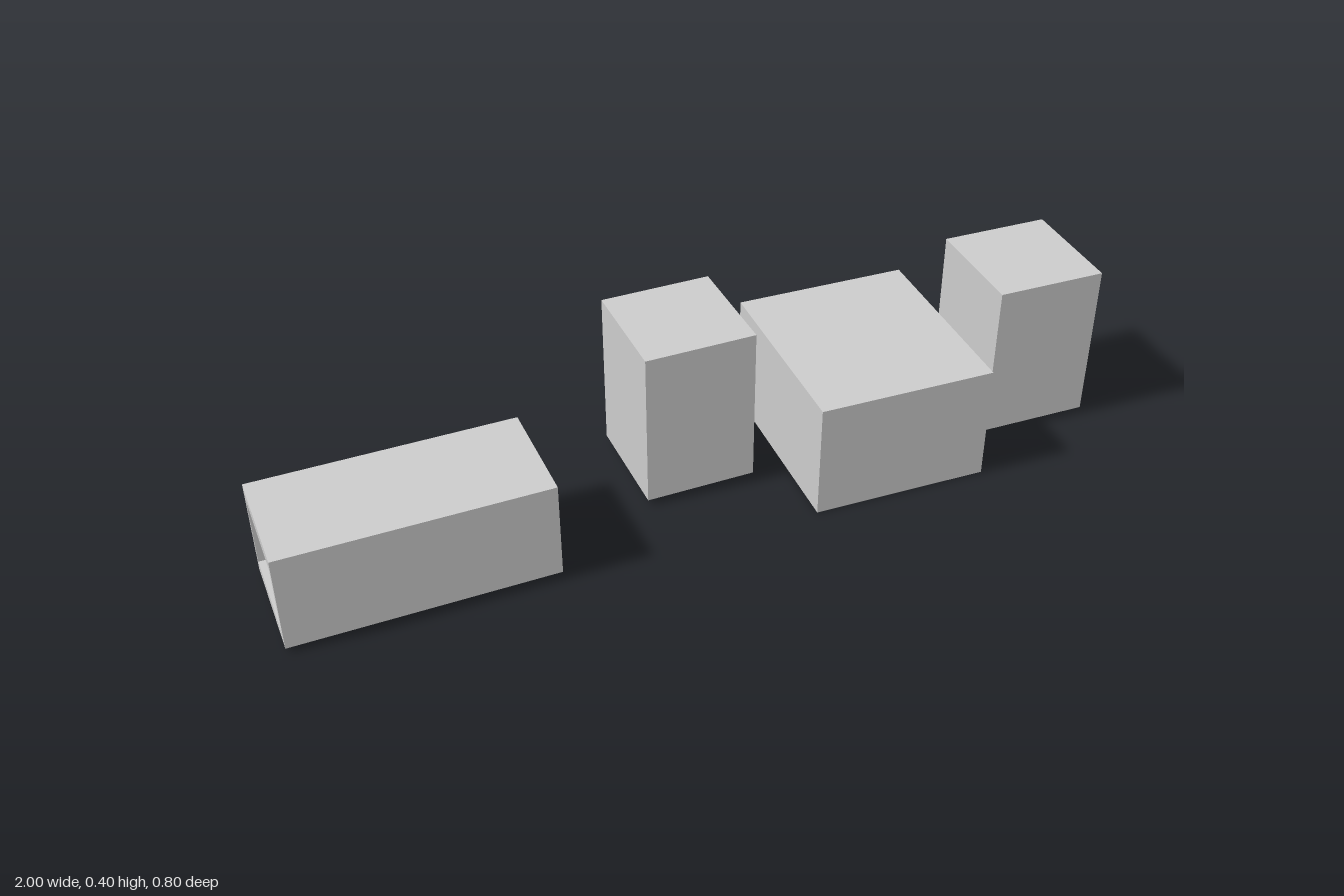
import * as THREE from 'three';

const material = new THREE.MeshStandardMaterial({ color: 0xcccccc, flatShading: true });

// Centred rectangle outline
function rect(path, w, h, cx = 0, cy = 0) {
  path.moveTo(cx - w / 2, cy - h / 2);
  path.lineTo(cx + w / 2, cy - h / 2);
  path.lineTo(cx + w / 2, cy + h / 2);
  path.lineTo(cx - w / 2, cy + h / 2);
  path.closePath();
  return path;
}

// Rectangular plate with a rectangular hole
function frame(w, h, holeW, holeH, depth, holeX = 0, holeY = 0) {
  const shape = rect(new THREE.Shape(), w, h);
  shape.holes.push(rect(new THREE.Path(), holeW, holeH, holeX, holeY));
  return new THREE.ExtrudeGeometry(shape, { depth, bevelEnabled: false });
}

function part(name, geometry) {
  const mesh = new THREE.Mesh(geometry, material);
  mesh.name = name;
  return mesh;
}

// Hollow case, open at its -x end, with a shallow recess in its rear side
function hollowCase(length, height, width) {
  const group = new THREE.Group();
  const skin = 0.005, side = 0.016, deck = 0.033, cap = 0.016;

  const tube = frame(width - skin, height, width - 2 * side, height - 2 * deck, length - cap, -skin / 2);
  tube.rotateY(-Math.PI / 2);
  tube.translate(length / 2 - cap, 0, skin / 2);
  group.add(part('caseShell', tube));

  const end = new THREE.BoxGeometry(cap, height, width - skin);
  end.translate(length / 2 - cap / 2, 0, skin / 2);
  group.add(part('caseEnd', end));

  const rear = frame(length, height, 0.06, 0.08, skin, 0.005, -0.034);
  rear.translate(0, 0, -width / 2);
  group.add(part('caseRearPanel', rear));
  return group;
}

export function createModel() {
  const model = new THREE.Group();
  model.name = 'blockRow';

  // Solid blocks: centre x, z, size x, z, bottom, top, turn in degrees
  const blocks = [
    ['innerTallBlock', 0.0375, -0.1075, 0.264, 0.269, 0.015, 0.4, 18],
    ['wideBlock', 0.425, 0.102, 0.422, 0.477, 0, 0.284, 20.2],
    ['outerTallBlock', 0.827, 0.227, 0.264, 0.271, 0.015, 0.4, 20],
  ];
  for (const [name, x, z, w, d, bottom, top, turn] of blocks) {
    const block = part(name, new THREE.BoxGeometry(w, top - bottom, d));
    block.position.set(x, (bottom + top) / 2, z);
    block.rotation.y = -THREE.MathUtils.degToRad(turn);
    model.add(block);
  }

  // Long low case standing apart
  const box = hollowCase(0.606, 0.235, 0.27);
  box.name = 'longCase';
  box.position.set(-0.67, 0.129, -0.179);
  box.rotation.y = -THREE.MathUtils.degToRad(18);
  model.add(box);

  return model;
}
